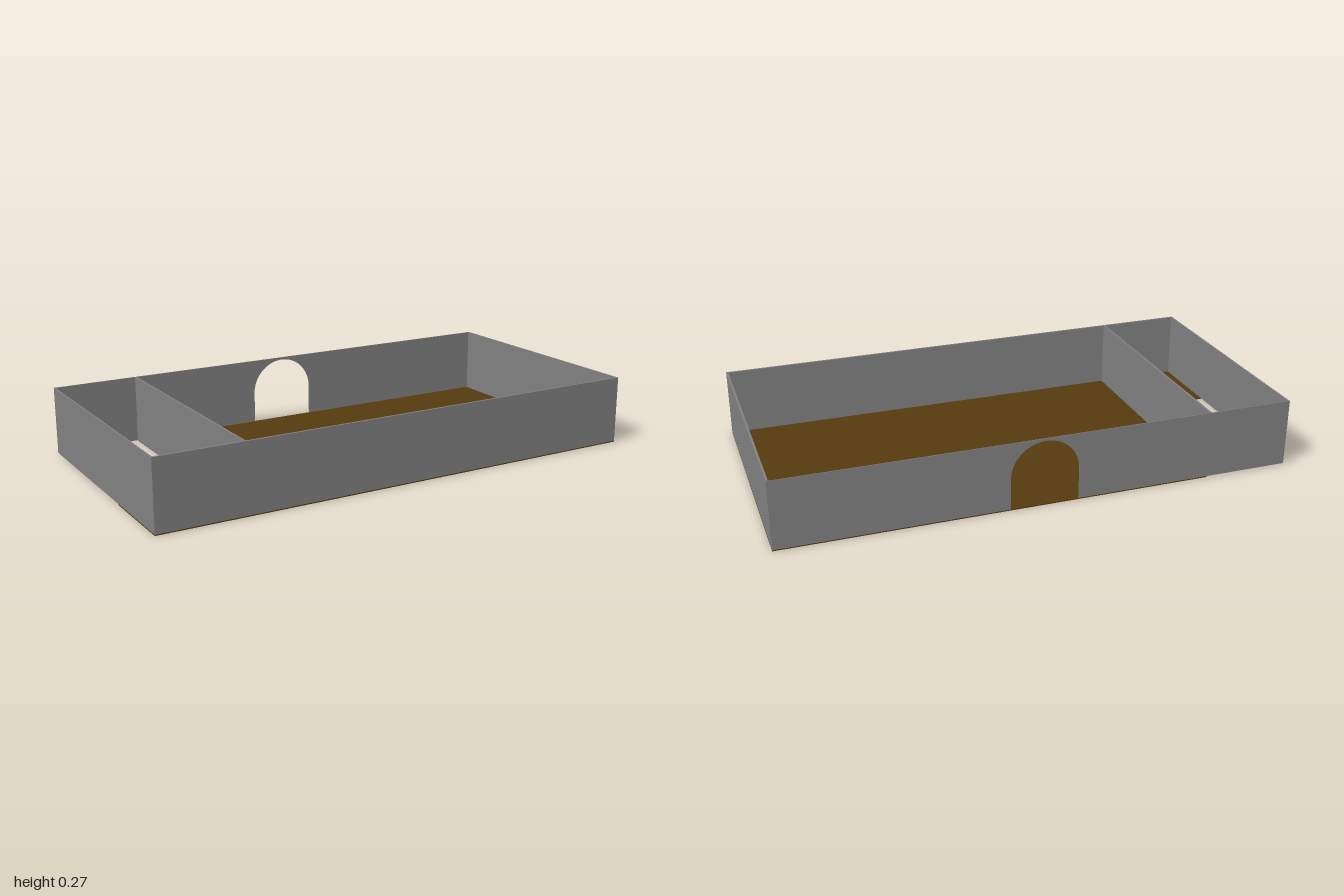
import * as THREE from 'three';

export function createModel() {
  const model = new THREE.Group();
  model.name = 'walledRooms';
  const wallGrey = new THREE.MeshStandardMaterial({ color: 0x808080 });
  wallGrey.name = 'wall grey';
  const floorBrown = new THREE.MeshStandardMaterial({ color: 0x553a0f });
  floorBrown.name = 'floor brown';

  const H = 0.27, FLOOR = 0.004, BACK = 0.003;

  // Box given by its minimum and maximum corners
  function slab(name, material, [x0, y0, z0], [x1, y1, z1]) {
    const mesh = new THREE.Mesh(new THREE.BoxGeometry(x1 - x0, y1 - y0, z1 - z0), material);
    mesh.position.set((x0 + x1) / 2, (y0 + y1) / 2, (z0 + z1) / 2);
    mesh.name = name;
    model.add(mesh);
  }

  // Floors: large room, and a short landing beside an open shaft
  slab('mainFloor', floorBrown, [-0.665, 0, -0.5], [1, FLOOR, 0.5]);
  slab('landingFloor', floorBrown, [-1, 0, 0.17], [-0.665, FLOOR, 0.5]);

  // Straight walls; those running front to back stop just short of the back wall
  slab('frontWall', wallGrey, [-1, FLOOR, 0.492], [1, H, 0.5]);
  slab('leftWall', wallGrey, [0.992, FLOOR, -0.494], [1, H, 0.492]);
  slab('rightWall', wallGrey, [-1, FLOOR, -0.494], [-0.994, H, 0.492]);
  slab('partitionWall', wallGrey, [-0.668, FLOOR, -0.494], [-0.66, H, 0.492]);

  // Back wall with a round-topped doorway cut up from the floor
  const r = 0.133, spring = 0.127;
  const outline = new THREE.Shape();
  outline.moveTo(-1, FLOOR);
  outline.lineTo(-r, FLOOR);
  outline.lineTo(-r, spring);
  outline.absarc(0, spring, r, Math.PI, 0, true);
  outline.lineTo(r, FLOOR);
  outline.lineTo(1, FLOOR);
  outline.lineTo(1, H);
  outline.lineTo(-1, H);
  outline.closePath();
  const backWall = new THREE.Mesh(
    new THREE.ExtrudeGeometry(outline, { depth: BACK, bevelEnabled: false, curveSegments: 24 }),
    wallGrey
  );
  backWall.name = 'backWallWithArch';
  backWall.position.z = -0.5;
  model.add(backWall);

  return model;
}
